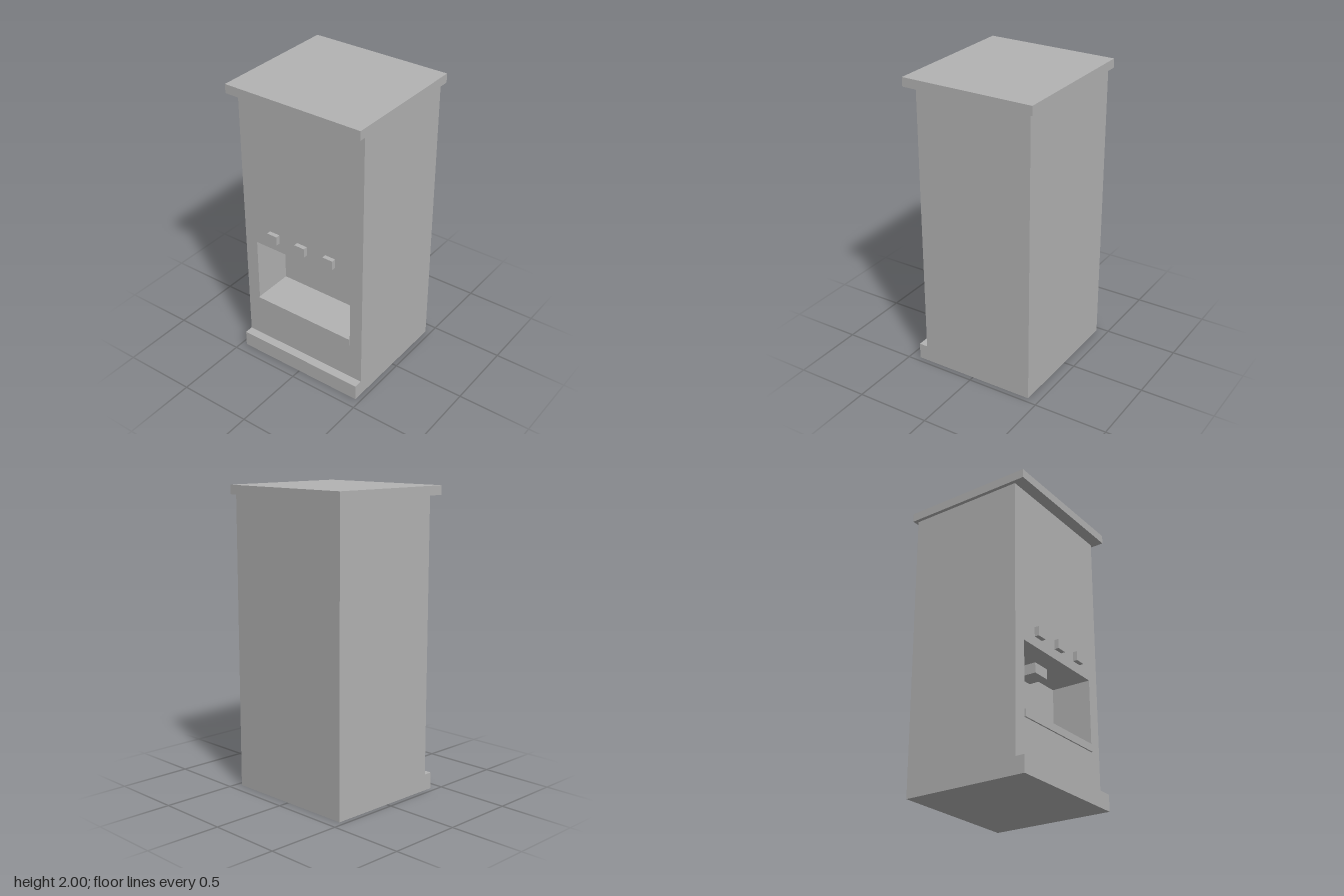
import * as THREE from 'three';

export function createModel() {
  const group = new THREE.Group();
  const grey = new THREE.MeshStandardMaterial({ color: 0xb2b2b2 });
  grey.name = 'grey';

  const add = (name, geometry) => {
    const mesh = new THREE.Mesh(geometry, grey);
    mesh.name = name;
    group.add(mesh);
    return mesh;
  };
  // Box given by its lower and upper limits on each axis
  const box = (name, [x0, x1], [y0, y1], [z0, z1]) =>
    add(name, new THREE.BoxGeometry(x1 - x0, y1 - y0, z1 - z0))
      .position.set((x0 + x1) / 2, (y0 + y1) / 2, (z0 + z1) / 2);

  const halfWidth = 0.465, bodyTop = 1.94;
  const back = -0.425, recessBack = 0.09, front = 0.37;
  const recessHalf = 0.373, recessBottom = 0.375, shelfTop = 0.425, recessTop = 0.87;

  const rect = (path, x, y0, y1) => {
    path.moveTo(-x, y0);
    path.lineTo(x, y0);
    path.lineTo(x, y1);
    path.lineTo(-x, y1);
    path.closePath();
    return path;
  };

  // Cabinet: solid rear, and a front section pierced by the dispensing recess
  box('cabinetRear', [-halfWidth, halfWidth], [0, bodyTop], [back, recessBack]);
  const frame = rect(new THREE.Shape(), halfWidth, 0, bodyTop);
  frame.holes.push(rect(new THREE.Path(), recessHalf, recessBottom, recessTop));
  add('cabinetFront', new THREE.ExtrudeGeometry(frame, { depth: front - recessBack, bevelEnabled: false }))
    .position.z = recessBack;

  // Overhanging lid and projecting plinth
  box('lid', [-0.49, 0.49], [bodyTop, 2], [-0.45, 0.45]);
  box('plinth', [-halfWidth, halfWidth], [0, 0.11], [front, 0.43]);

  // Shelf on the recess floor, and the spout under its ceiling
  box('shelf', [-recessHalf, recessHalf], [recessBottom, shelfTop], [recessBack, 0.38]);
  box('spout', [-0.066, 0.066], [0.8, recessTop], [0.11, 0.243]);

  // Row of three buttons
  for (const x of [-0.22, 0, 0.22]) {
    box('button', [x - 0.038, x + 0.038], [0.937, 1], [front, 0.4]);
  }

  return group;
}
